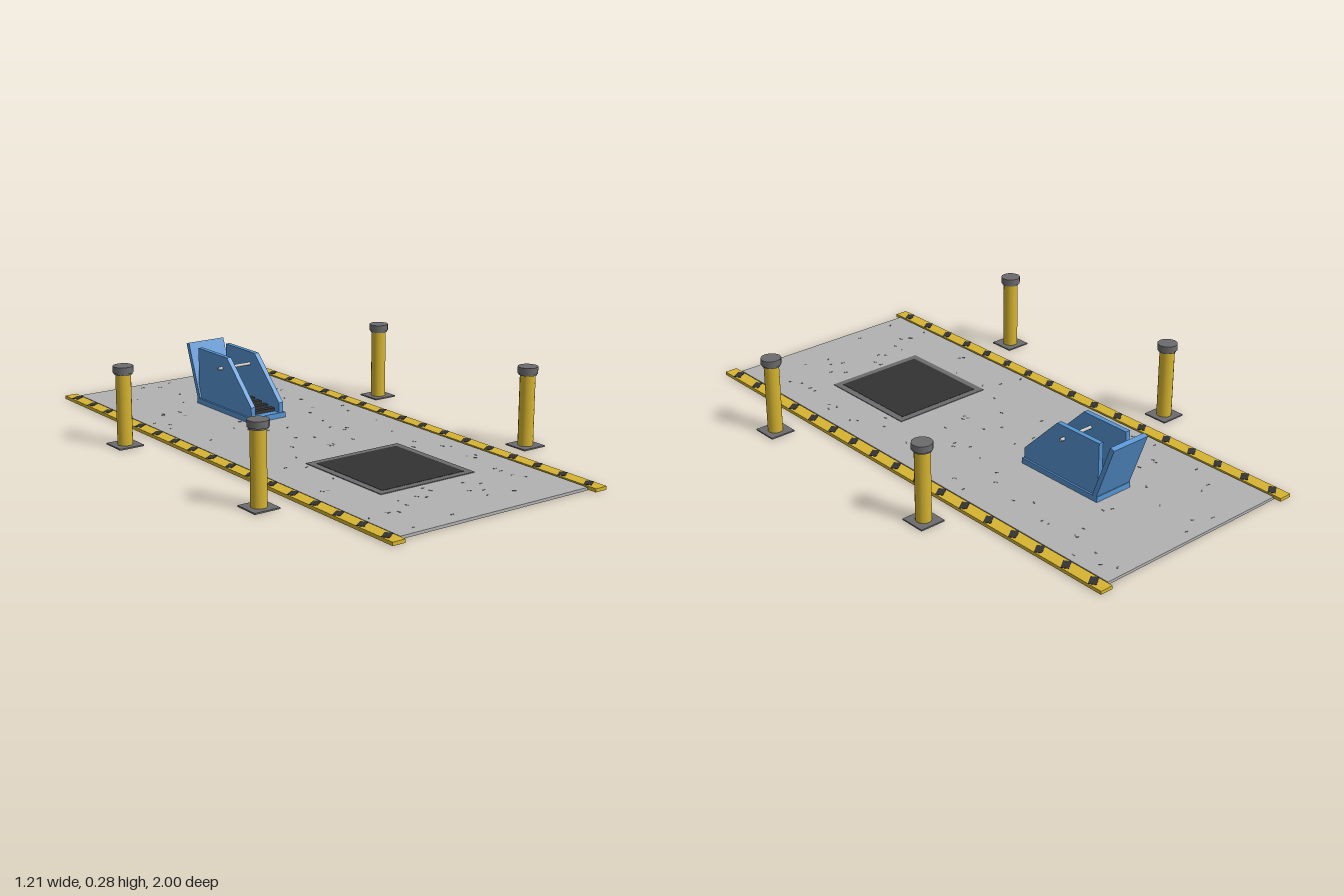
import * as THREE from 'three';

const mat = (name, color) => {
  const m = new THREE.MeshStandardMaterial({ color });
  m.name = name;
  return m;
};

export function createModel() {
  const concrete = mat('concrete', 0xb2b2b2);
  const yellow = mat('safety yellow', 0xd6b430);
  const black = mat('rubber black', 0x333333);
  const steel = mat('dark steel', 0x6c6c6e);
  const blue = mat('machine blue', 0x5594d2);
  const chrome = mat('light metal', 0xc0c0c2);

  const root = new THREE.Group();
  root.name = 'checkpointLane';

  const add = (parent, name, geo, material, x = 0, y = 0, z = 0) => {
    const m = new THREE.Mesh(geo, material);
    m.name = name;
    m.position.set(x, y, z);
    parent.add(m);
    return m;
  };
  // box placed by its lower face
  const box = (parent, name, material, w, h, d, x, y0, z) =>
    add(parent, name, new THREE.BoxGeometry(w, h, d), material, x, y0 + h / 2, z);
  const group = (name, x = 0, y = 0, z = 0) => {
    const g = new THREE.Group();
    g.name = name;
    g.position.set(x, y, z);
    root.add(g);
    return g;
  };

  // Ground slab with scattered flecks
  box(root, 'slab', concrete, 0.765, 0.01, 1.945, 0, 0, -0.003);
  const flecks = group('flecks');
  const fleckGeo = new THREE.BoxGeometry(0.013, 0.001, 0.005);
  let seed = 7;
  const rand = () => (seed = (seed * 16807) % 2147483647) / 2147483647;
  for (let i = 0; i < 110; i++) {
    const x = (rand() - 0.5) * 0.72, z = (rand() - 0.5) * 1.88, turn = rand() * Math.PI;
    const onPad = Math.abs(x) < 0.21 && Math.abs(z - 0.44) < 0.22;
    const underMachine = Math.abs(x) < 0.09 && z > -0.64 && z < -0.25;
    if (onPad || underMachine) continue;
    add(flecks, 'fleck', fleckGeo, steel, x, 0.0103, z).rotation.y = turn;
  }

  // Hazard kerbs with slanted stripes
  const stripeGeo = new THREE.BoxGeometry(0.042, 0.002, 0.026);
  for (const s of [-1, 1]) {
    const kerb = group('hazardKerb', s * 0.412);
    box(kerb, 'kerbStrip', yellow, 0.048, 0.012, 2, 0, 0, 0);
    for (let i = 0; i < 17; i++) {
      const z = -0.944 + i * 0.118;
      add(kerb, 'kerbStripe', stripeGeo, black, 0, 0.0122, z).rotation.y = 0.6;
    }
  }

  // Framed floor pad
  box(root, 'padFrame', steel, 0.39, 0.003, 0.4, 0, 0.0095, 0.442);
  box(root, 'padSurface', black, 0.34, 0.003, 0.352, 0, 0.0105, 0.442);

  // Bollards
  for (const x of [-0.558, 0.558]) {
    for (const z of [-0.325, 0.497]) {
      const b = group('bollard', x, 0, z);
      box(b, 'bollardBase', steel, 0.095, 0.005, 0.095, 0, 0.0005, 0);
      add(b, 'bollardPost', new THREE.CylinderGeometry(0.027, 0.027, 0.26, 16), yellow, 0, 0.13, 0);
      add(b, 'bollardCollar', new THREE.CylinderGeometry(0.032, 0.032, 0.008, 12), steel, 0, 0.26, 0);
      add(b, 'bollardCap', new THREE.CylinderGeometry(0.036, 0.036, 0.023, 12), steel, 0, 0.2735, 0);
    }
  }

  // Machine: base, side panels, leaning back plate
  const machine = group('machine');
  box(machine, 'machineBase', blue, 0.154, 0.02, 0.358, 0, 0.01, -0.442);
  const profile = new THREE.Shape([
    [-0.267, 0.028], [-0.267, 0.067], [-0.423, 0.222], [-0.617, 0.222], [-0.617, 0.028],
  ].map(([z, y]) => new THREE.Vector2(z, y)));
  const sideGeo = new THREE.ExtrudeGeometry(profile, { depth: 0.018, bevelEnabled: false });
  sideGeo.translate(0, 0, -0.009);
  sideGeo.rotateY(-Math.PI / 2);
  for (const s of [-1, 1]) add(machine, 'sidePanel', sideGeo, blue, s * 0.061, 0, 0);
  const back = add(machine, 'backPlate', new THREE.BoxGeometry(0.154, 0.212, 0.018), blue, 0, 0.13, -0.645);
  back.rotation.x = -0.35;

  // Slats rising towards the back
  for (let i = 0; i < 5; i++) {
    box(machine, 'slat', black, 0.104, 0.013, 0.023, 0, 0.029 + i * 0.004, -0.306 - i * 0.0425);
  }

  // Cross bar through both side panels
  const bar = add(machine, 'crossBar', new THREE.CylinderGeometry(0.006, 0.006, 0.174, 12), chrome, 0, 0.177, -0.456);
  bar.rotation.z = Math.PI / 2;

  return root;
}
